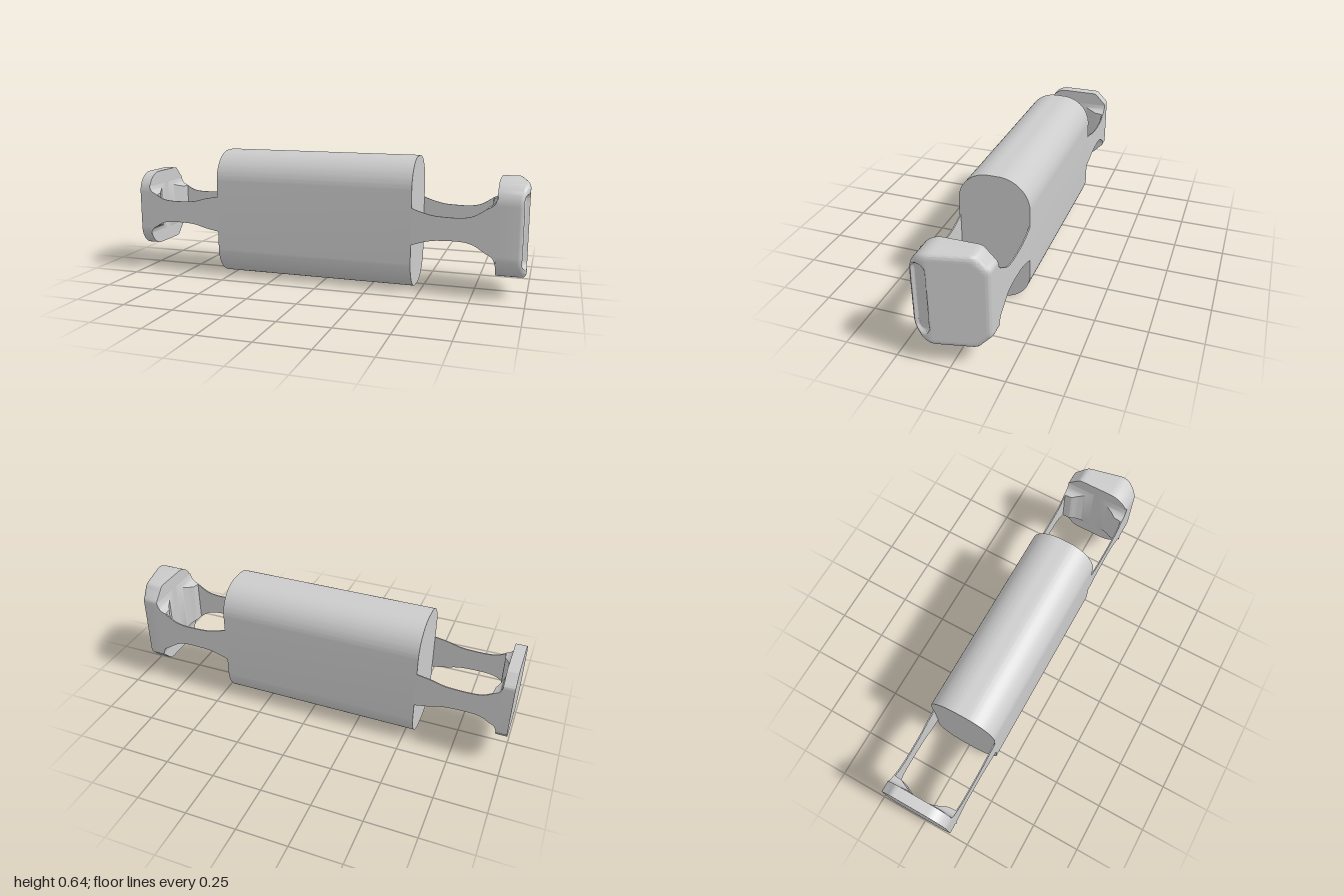
import * as THREE from 'three';
import { toCreasedNormals } from 'three/addons/utils/BufferGeometryUtils.js';

const MID = 0.325, HALF_Z = 0.172;
const mat = new THREE.MeshStandardMaterial({ color: 0xcccccc });

// Side outlines are drawn with shape x = -z and y measured from the middle height.
function capShape(h, r, c) {
  const w = HALF_Z, s = new THREE.Shape();
  s.moveTo(w, -h + c);
  s.lineTo(w, h - c);
  s.quadraticCurveTo(w, h - c + 0.012, w - 0.012, h - c + 0.02);
  s.lineTo(w - c + 0.02, h - 0.01);
  s.quadraticCurveTo(w - c + 0.01, h, w - c - 0.01, h);
  s.lineTo(-w + r, h);
  s.absarc(-w + r, h - r, r, Math.PI / 2, Math.PI, false);
  s.lineTo(-w, -h + r);
  s.absarc(-w + r, -h + r, r, Math.PI, Math.PI * 1.5, false);
  s.lineTo(w - c - 0.01, -h);
  s.quadraticCurveTo(w - c + 0.01, -h, w - c + 0.02, -h + 0.01);
  s.lineTo(w - 0.012, -h + c - 0.02);
  s.quadraticCurveTo(w, -h + c - 0.012, w, -h + c);
  return s;
}

function bodyShape() {
  const w = HALF_Z, h = 0.3225, r = 0.148, s = new THREE.Shape();
  s.absarc(w - r, h - r, r, 0, Math.PI / 2, false);
  s.absarc(-w + r, h - r, r, Math.PI / 2, Math.PI, false);
  s.absarc(-w + r, -h + r, r, Math.PI, Math.PI * 1.5, false);
  s.absarc(w - r, -h + r, r, Math.PI * 1.5, Math.PI * 2, false);
  s.closePath();
  return s;
}

// Extrudes a side outline along x from x0 to x1.
function extrudeX(shape, x0, x1, y) {
  const g = new THREE.ExtrudeGeometry(shape, { depth: x1 - x0, bevelEnabled: false, curveSegments: 16 });
  g.rotateY(Math.PI / 2).translate(x0, y, 0);
  return toCreasedNormals(g, 0.5);
}

// Joins equal-length loops of points into a surface.
function loft(loops, capEnds) {
  const n = loops[0].length, pos = loops.flat(2), idx = [];
  for (let k = 0; k < loops.length - 1; k++) {
    for (let i = 0; i < n; i++) {
      const a = k * n + i, b = k * n + (i + 1) % n;
      idx.push(a, b, b + n, a, b + n, a + n);
    }
  }
  if (capEnds) {
    const e = (loops.length - 1) * n;
    idx.push(0, 2, 1, 0, 3, 2, e, e + 1, e + 2, e, e + 2, e + 3);
  }
  const g = new THREE.BufferGeometry();
  g.setAttribute('position', new THREE.Float32BufferAttribute(pos, 3));
  g.setIndex(idx);
  return toCreasedNormals(g, 0.6);
}

// Slanted outer face of the large end, with its sunken oblong slot.
function faceX(y, z) {
  const a = 0.945 + (z + 0.15) * 0.22, b = 1 - (z - 0.1) * 0.35;
  const k = Math.max(0.015 - Math.abs(a - b), 0) / 0.015;
  const ridge = Math.min(a, b) - k * k * 0.004;
  const dy = Math.max(Math.abs(y) - 0.14, 0);
  const d = Math.hypot(z - 0.122, dy) - 0.037;
  return ridge - 0.018 * (1 - THREE.MathUtils.smoothstep(d, -0.016, 0.003));
}

function largeCap() {
  const outline = capShape(0.23, 0.11, 0.075).getSpacedPoints(160).slice(0, -1);
  const r = 0.02, back = 0.855;
  const ring = (s, x) => outline.map(p => [x ?? 0, p.y * s, -p.x * s]);
  const loops = [ring(0.001, back), ring(1, back)];
  for (let k = 0; k <= 60; k++) {
    // rings crowd together near the rounded rim
    const s = 1 - Math.pow(k / 60, 1.3) * 0.999;
    const d = Math.min((1 - s) * HALF_Z, r);
    const drop = r - Math.sqrt(r * r - (r - d) * (r - d));
    loops.push(ring(s).map(([, y, z]) => [faceX(y, z) - drop, y, z]));
  }
  const g = loft(loops, false);
  g.translate(0, MID, 0);
  return g;
}

// Strap sections: [x, half height, thickness], smoothed along x.
function strap(profile, side) {
  const curve = new THREE.CatmullRomCurve3(profile.map(([x, h]) => new THREE.Vector3(x, h, 0)), false, 'centripetal');
  const thick = x => {
    for (let i = 1; i < profile.length; i++) {
      const [x0, , t0] = profile[i - 1], [x1, , t1] = profile[i];
      if (x <= x1 + 1e-6) return THREE.MathUtils.lerp(t0, t1, (x - x0) / (x1 - x0));
    }
    return profile[profile.length - 1][2];
  };
  const loops = curve.getPoints(60).map(p => {
    const zi = HALF_Z - thick(p.x);
    return [[p.x, -p.y, HALF_Z], [p.x, -p.y, zi], [p.x, p.y, zi], [p.x, p.y, HALF_Z]];
  });
  const g = loft(loops, true);
  if (side < 0) g.rotateX(Math.PI);
  g.translate(0, MID, 0);
  return g;
}

export function createModel() {
  const model = new THREE.Group();
  const add = (name, geometry) => {
    const m = new THREE.Mesh(geometry, mat);
    m.name = name;
    model.add(m);
  };

  add('body', extrudeX(bodyShape(), -0.55, 0.46, 0.3225));
  add('largeEndCap', largeCap());
  add('smallEndCap', extrudeX(capShape(0.195, 0.1, 0.07), -1, -0.945, MID));

  // Thin straps that flare and thicken into the end caps
  const T = 0.006;
  const leftProfile = [
    [0.455, 0.092, T], [0.5, 0.076, T], [0.56, 0.061, T], [0.61, 0.057, T], [0.7, 0.057, T],
    [0.75, 0.068, T], [0.785, 0.088, T], [0.81, 0.105, T], [0.813, 0.107, 0.045],
    [0.83, 0.115, 0.07], [0.845, 0.13, 0.105], [0.857, 0.165, 0.16],
  ];
  const rightProfile = [
    [-0.947, 0.13, 0.16], [-0.935, 0.103, 0.105], [-0.92, 0.092, 0.07], [-0.908, 0.086, 0.045],
    [-0.905, 0.084, T], [-0.87, 0.065, T], [-0.83, 0.057, T], [-0.73, 0.057, T],
    [-0.68, 0.062, T], [-0.62, 0.078, T], [-0.545, 0.092, T],
  ];
  for (const side of [1, -1]) {
    const where = side > 0 ? 'Front' : 'Back';
    add('left' + where + 'Strap', strap(leftProfile, side));
    add('right' + where + 'Strap', strap(rightProfile, side));
  }
  return model;
}
